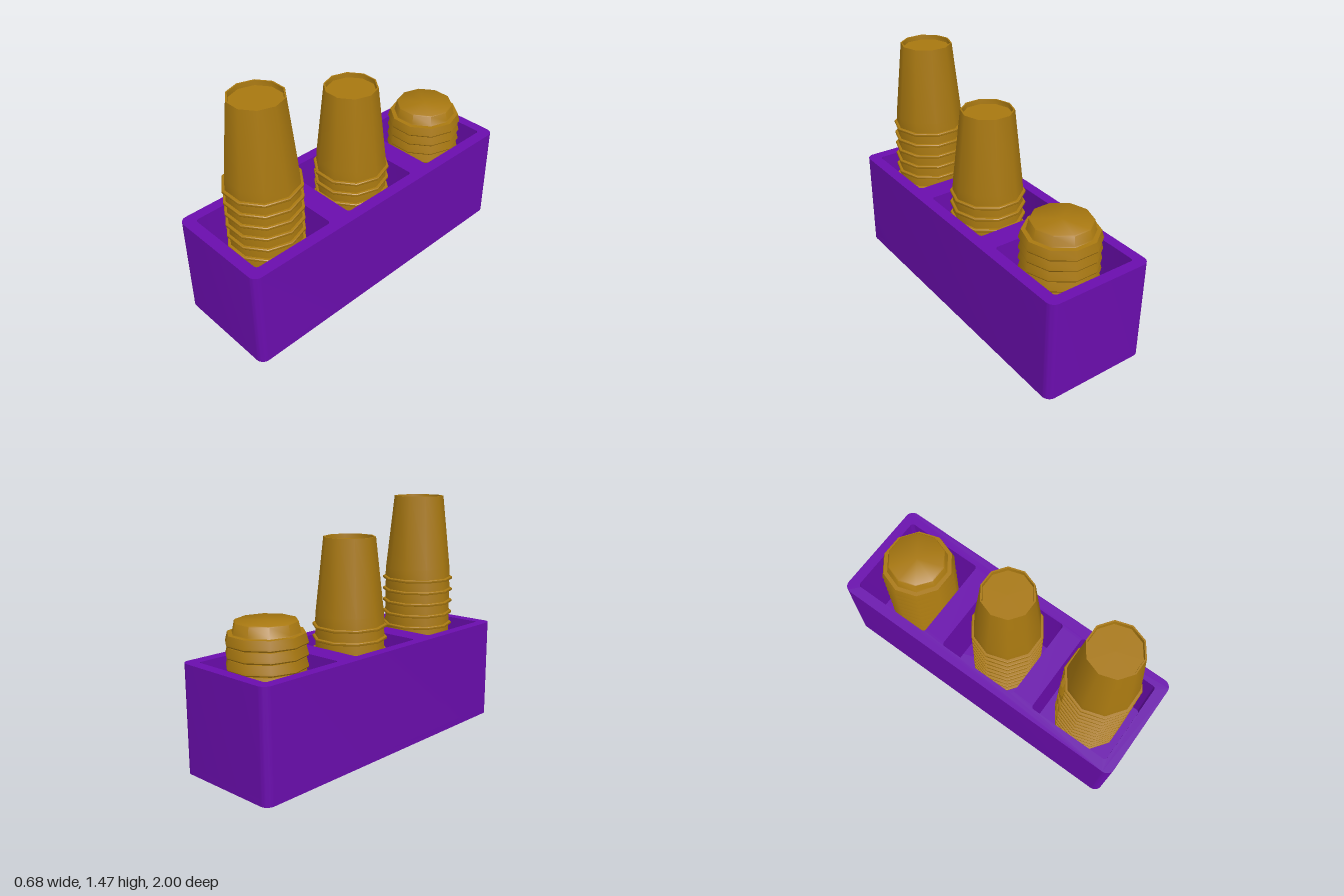
import * as THREE from 'three';
import { toCreasedNormals } from 'three/addons/utils/BufferGeometryUtils.js';

const purple = new THREE.MeshStandardMaterial({ color: 0x6a0dad });
const gold = new THREE.MeshStandardMaterial({ color: 0xa87810, side: THREE.DoubleSide });

const HEIGHT = 0.635, FLOOR = 0.04;
const POCKETS = [[-0.935, -0.41], [-0.27, 0.26], [0.4, 0.93]];

// Rounded rectangle in plan; plan y is -z
function roundedRect(target, x0, x1, z0, z1, r) {
  const a = -z1, b = -z0;
  target.moveTo(x0 + r, a);
  target.lineTo(x1 - r, a);
  target.absarc(x1 - r, a + r, r, -Math.PI / 2, 0);
  target.lineTo(x1, b - r);
  target.absarc(x1 - r, b - r, r, 0, Math.PI / 2);
  target.lineTo(x0 + r, b);
  target.absarc(x0 + r, b - r, r, Math.PI / 2, Math.PI);
  target.lineTo(x0, a + r);
  target.absarc(x0 + r, a + r, r, Math.PI, Math.PI * 1.5);
  return target;
}

// Slab of the holder's outline, optionally pierced by the pockets
function slab(name, y0, y1, pierced) {
  const shape = roundedRect(new THREE.Shape(), -0.34, 0.34, -1, 1, 0.05);
  if (pierced) {
    for (const [z0, z1] of POCKETS) {
      shape.holes.push(roundedRect(new THREE.Path(), -0.275, 0.268, z0, z1, 0.02));
    }
  }
  const geo = new THREE.ExtrudeGeometry(shape, { depth: y1 - y0, bevelEnabled: false, curveSegments: 6 });
  geo.rotateX(-Math.PI / 2);
  geo.translate(0, y0, 0);
  const mesh = new THREE.Mesh(toCreasedNormals(geo, 0.6), purple);
  mesh.name = name;
  return mesh;
}

// Ten-sided turned part with crisp profile edges
function turned(profile) {
  const geo = new THREE.LatheGeometry(profile.map(([r, y]) => new THREE.Vector2(r, y)), 10);
  geo.rotateY(Math.PI / 2);
  return toCreasedNormals(geo, 0.7);
}

// Upturned cup: rolled rim, tapering wall, recessed base
const cup = turned([
  [0.207, 0], [0.226, 0], [0.228, 0.004], [0.228, 0.013], [0.224, 0.017],
  [0.212, 0.018], [0.208, 0.08], [0.157, 0.54], [0.148, 0.54], [0.146, 0.512], [0, 0.512],
]);

// Lid: sloping skirt, step and raised flat top
const lid = turned([
  [0.205, 0], [0.226, 0], [0.231, 0.008], [0.229, 0.018], [0.218, 0.06],
  [0.193, 0.062], [0.189, 0.068], [0.178, 0.122], [0.173, 0.126], [0, 0.126],
]);

// Nested pile reaching from the top piece down to the pocket floor
function stack(name, pieceName, geo, x, z, topPieceY, pitch) {
  const group = new THREE.Group();
  group.name = name;
  for (let y = topPieceY; y >= FLOOR; y -= pitch) {
    const mesh = new THREE.Mesh(geo, gold);
    mesh.name = pieceName;
    mesh.position.y = y;
    group.add(mesh);
  }
  group.position.set(x, 0, z);
  return group;
}

export function createModel() {
  const model = new THREE.Group();
  model.name = 'cupHolder';
  model.add(
    slab('holderFloor', 0, FLOOR, false),
    slab('holderWalls', FLOOR, HEIGHT, true),
    stack('tallCupStack', 'cup', cup, 0.027, 0.668, 0.928, 0.0755),
    stack('shortCupStack', 'cup', cup, 0.027, 0.006, 0.718, 0.0755),
    stack('lidStack', 'lid', lid, 0.015, -0.667, 0.739, 0.066),
  );
  return model;
}
